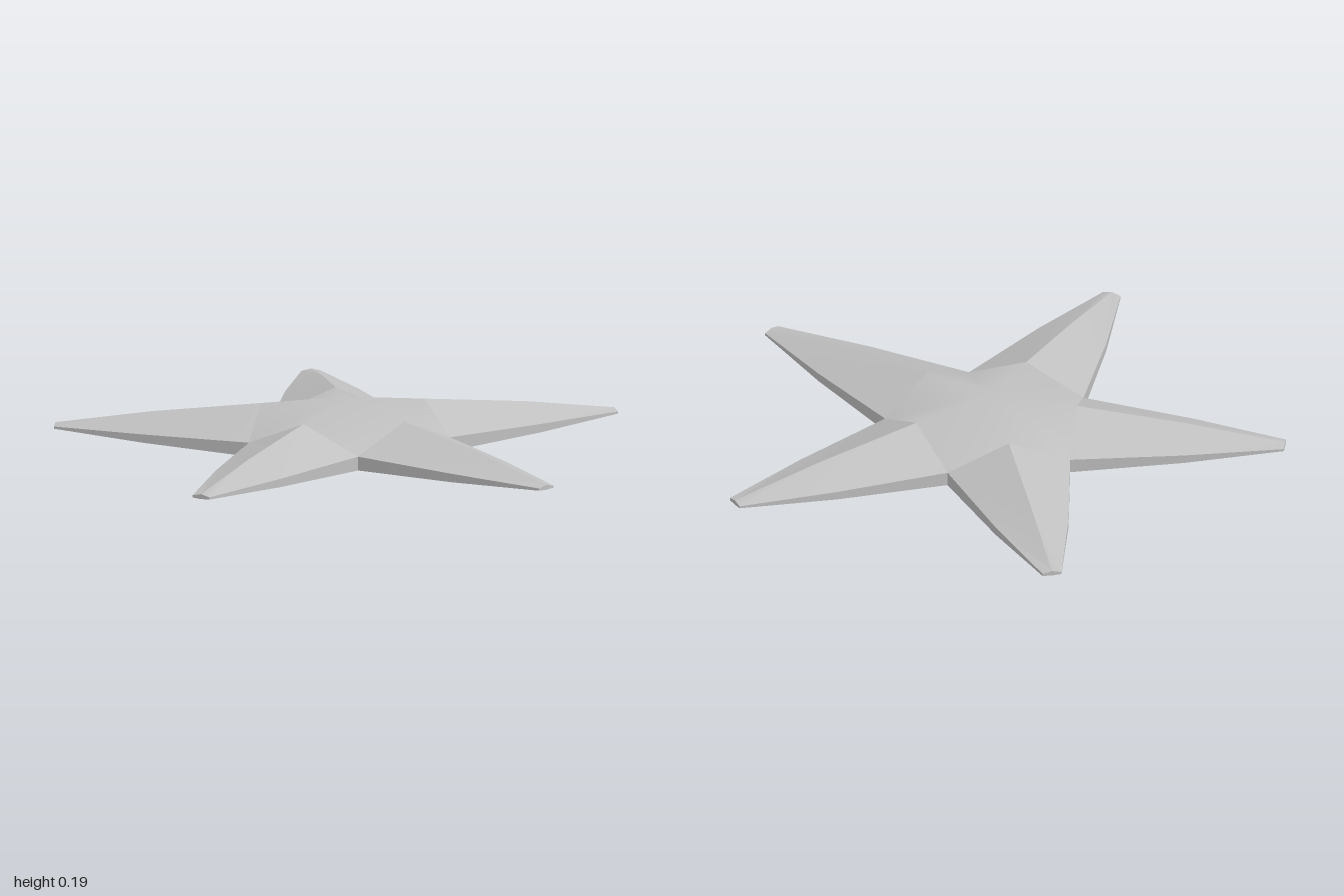
import * as THREE from 'three';
import { toCreasedNormals } from 'three/addons/utils/BufferGeometryUtils.js';

const ARMS = 5;
const STEP = (Math.PI * 2) / ARMS;
const VALLEY = 0.375; // radius of the notches between arms
const ROOT = VALLEY * Math.cos(STEP / 2);

// Arm cross-sections: distance, half width, and heights of ridge, rim, lower rim and keel
const SECTIONS = [
  { r: ROOT, w: VALLEY * Math.sin(STEP / 2), ridge: 0.148, rim: 0.055, low: 0.005, keel: 0 },
  { r: 0.7, w: 0.131, ridge: 0.1, rim: 0.046, low: 0.016, keel: 0.012 },
  { r: 1.04, w: 0.034, ridge: 0.045, rim: 0.037, low: 0.029, keel: 0.027 },
];

function indexed(points, index) {
  const geometry = new THREE.BufferGeometry();
  geometry.setAttribute('position', new THREE.Float32BufferAttribute(points.flat(), 3));
  geometry.setIndex(index);
  return geometry;
}

// Tapering arm along +x, with a ridge above, thin side walls and a shallow keel
function armGeometry() {
  const points = [];
  const index = [];
  for (const s of SECTIONS) {
    points.push([s.r, s.ridge, 0], [s.r, s.rim, s.w], [s.r, s.low, s.w],
      [s.r, s.keel, 0], [s.r, s.low, -s.w], [s.r, s.rim, -s.w]);
  }
  const n = 6;
  for (let k = 0; k < SECTIONS.length - 1; k++) {
    for (let i = 0; i < n; i++) {
      const a = k * n + i;
      const b = k * n + ((i + 1) % n);
      index.push(a, b, a + n, b, b + n, a + n);
    }
  }
  // blunt tip
  const t = (SECTIONS.length - 1) * n;
  for (let i = 1; i < n - 1; i++) index.push(t, t + i, t + i + 1);
  return toCreasedNormals(indexed(points, index), THREE.MathUtils.degToRad(28));
}

// Fan from a centre point to the arm roots and the notches between them
function discGeometry(centreY, rootY, valleyY, up) {
  const points = [[0, centreY, 0]];
  const index = [];
  const n = ARMS * 2;
  for (let i = 0; i < n; i++) {
    const angle = Math.PI + (i * STEP) / 2;
    const r = i % 2 ? VALLEY : ROOT;
    points.push([r * Math.cos(angle), i % 2 ? valleyY : rootY, -r * Math.sin(angle)]);
    const a = 1 + i;
    const b = 1 + ((i + 1) % n);
    index.push(0, up ? a : b, up ? b : a);
  }
  const geometry = indexed(points, index);
  geometry.computeVertexNormals();
  return geometry;
}

export function createModel() {
  const model = new THREE.Group();
  model.name = 'starfish';
  const grey = new THREE.MeshStandardMaterial({ color: 0xc0c0c0 });
  grey.name = 'light grey';

  const add = (name, geometry) => {
    const mesh = new THREE.Mesh(geometry, grey);
    mesh.name = name;
    mesh.position.x = 0.0895;
    model.add(mesh);
    return mesh;
  };

  const root = SECTIONS[0];
  add('bodyTop', discGeometry(0.185, root.ridge, root.rim, true));
  add('bodyUnderside', discGeometry(0, root.keel, root.low, false));

  const arm = armGeometry();
  for (let i = 0; i < ARMS; i++) {
    add(`arm${i + 1}`, arm).rotation.y = Math.PI + i * STEP;
  }
  return model;
}
